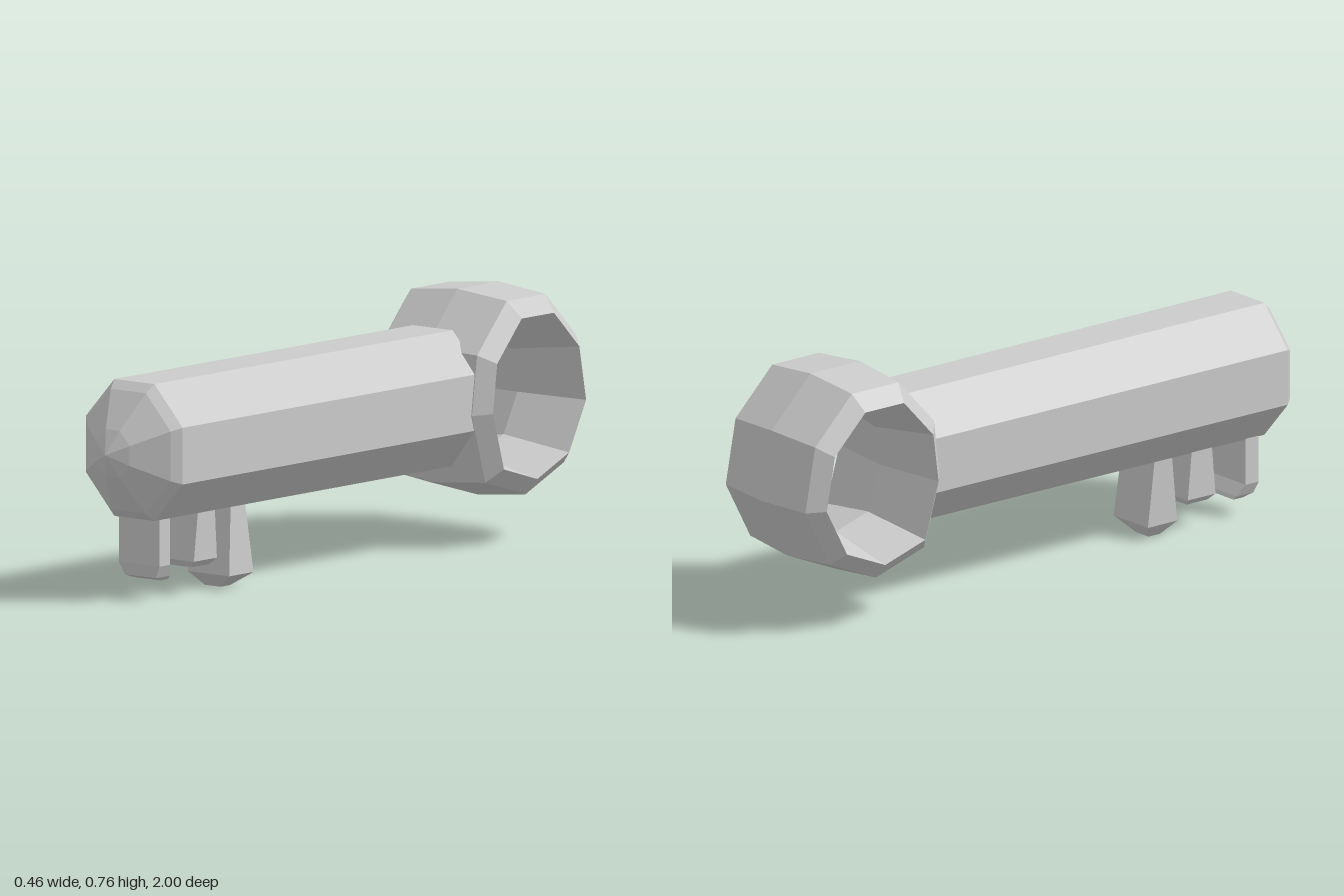
import * as THREE from 'three';

const material = new THREE.MeshStandardMaterial({ color: 0xcccccc, flatShading: true });

function addMesh(group, geometry, name) {
  const mesh = new THREE.Mesh(geometry, material);
  mesh.name = name;
  group.add(mesh);
  return mesh;
}

// Skins rows of points; every row is a closed loop, and the rows may close too.
function skin(rows, closed) {
  const n = rows[0].length, index = [];
  for (let j = 0; j < rows.length - (closed ? 0 : 1); j++) {
    const k = (j + 1) % rows.length;
    for (let i = 0; i < n; i++) {
      const m = (i + 1) % n;
      const a = j * n + i, b = k * n + i, c = k * n + m, d = j * n + m;
      index.push(a, b, d, b, c, d);
    }
  }
  const geometry = new THREE.BufferGeometry();
  geometry.setAttribute('position', new THREE.Float32BufferAttribute(rows.flat(2), 3));
  geometry.setIndex(index);
  geometry.computeVertexNormals();
  return geometry;
}

// Tooth from rectangles, bottom to top: [y, centre x, half width, centre z, half depth]
function tooth(levels) {
  const [y, x, , z] = levels[0];
  return skin([[y, x, 0, z, 0], ...levels].map(([ly, cx, hw, cz, hd]) => [
    [cx - hw, ly, cz - hd], [cx + hw, ly, cz - hd],
    [cx + hw, ly, cz + hd], [cx - hw, ly, cz + hd],
  ]), false);
}

export function createModel() {
  const model = new THREE.Group();
  model.name = 'key';

  // Octagonal shaft with a blunt point, lying along z
  const profile = [[0, -0.51], [0.22, -0.51], [0.222, 0.865], [0.195, 0.893], [0.078, 0.965], [0, 1]]
    .map(([r, z]) => new THREE.Vector2(r, z));
  const shaft = new THREE.LatheGeometry(profile, 8, Math.PI / 8);
  shaft.rotateX(Math.PI / 2);
  shaft.scale(0.91, 1, 1);
  shaft.translate(-0.003, 0.45, 0);
  addMesh(model, shaft, 'shaft');

  // Nine-sided ring handle, its outline given as [z, y]
  const outline = [
    [-0.62, 0.757], [-0.81, 0.757], [-0.96, 0.61], [-1, 0.4], [-0.9, 0.21],
    [-0.712, 0.13], [-0.515, 0.19], [-0.45, 0.41], [-0.475, 0.6],
  ];
  const section = [[-0.23, 0.78], [-0.185, 0.94], [0, 1], [0.185, 0.94], [0.23, 0.78], [0, 0.63]];
  const cy = 0.443, cz = -0.718;
  const ringRows = section.map(([x, s]) =>
    outline.map(([z, y]) => [x, cy + (y - cy) * s, cz + (z - cz) * s]));
  addMesh(model, skin(ringRows, true), 'ringHandle');

  // Three teeth hanging below the shaft
  addMesh(model, tooth([
    [0.057, -0.005, 0.05, 0.785, 0.018],
    [0.068, -0.005, 0.06, 0.803, 0.032],
    [0.105, -0.005, 0.078, 0.816, 0.025],
    [0.28, -0.005, 0.078, 0.816, 0.025],
  ]), 'frontTooth');
  addMesh(model, tooth([
    [0.08, -0.005, 0.055, 0.623, 0.04],
    [0.1, -0.005, 0.075, 0.625, 0.053],
    [0.28, -0.005, 0.078, 0.623, 0.036],
  ]), 'middleTooth');
  addMesh(model, tooth([
    [0, -0.005, 0.03, 0.48, 0.022],
    [0.042, 0.01, 0.08, 0.483, 0.056],
    [0.28, -0.005, 0.075, 0.478, 0.03],
  ]), 'backTooth');

  return model;
}
